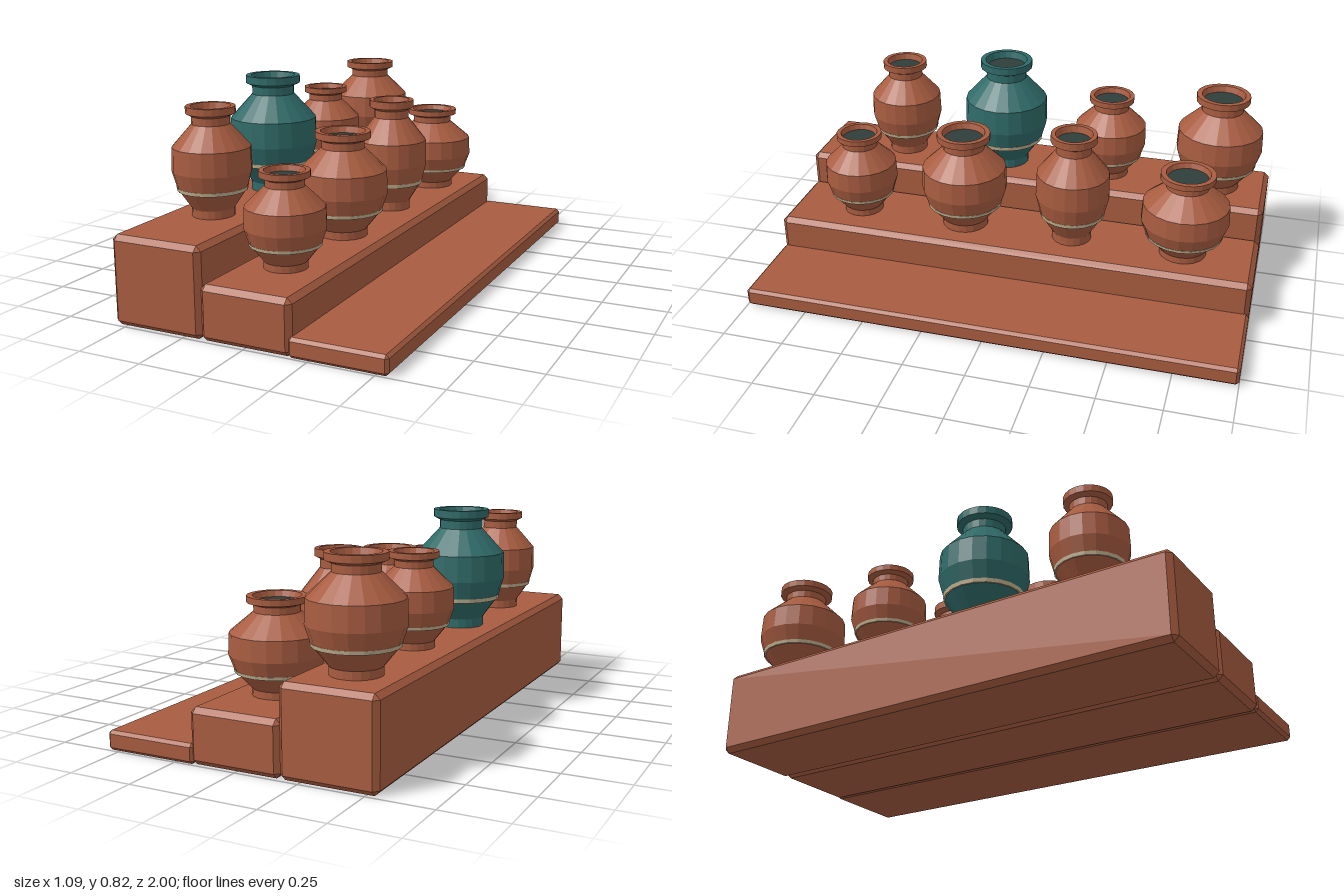
import * as THREE from 'three';
import { ConvexGeometry } from 'three/addons/geometries/ConvexGeometry.js';

const SIDES = 20;

function makeMaterial(name, color) {
  const m = new THREE.MeshStandardMaterial({ color });
  m.name = name;
  return m;
}

// Gives every facet its own normal
function faceted(geometry) {
  const g = geometry.toNonIndexed();
  g.computeVertexNormals();
  return g;
}

// Box with every edge cut at 45 degrees
function chamferBox(w, h, d, c) {
  const points = [];
  for (const x of [-1, 1]) for (const y of [-1, 1]) for (const z of [-1, 1]) {
    for (let axis = 0; axis < 3; axis++) {
      const inset = [c, c, c];
      inset[axis] = 0;
      points.push(new THREE.Vector3(
        x * (w / 2 - inset[0]), y * (h / 2 - inset[1]), z * (d / 2 - inset[2])));
    }
  }
  return new ConvexGeometry(points);
}

export function createModel() {
  const model = new THREE.Group();
  model.name = 'potteryDisplay';

  const terracotta = makeMaterial('terracotta', 0xa85c40);
  const teal = makeMaterial('teal glaze', 0x2f6b69);
  const cream = makeMaterial('cream', 0xc2b190);
  const dark = makeMaterial('dark interior', 0x2f3d3b);

  // Three stepped shelves: left edge, right edge, height, chamfer
  const shelves = [
    ['backShelf', -0.547, -0.172, 0.343, 0.02],
    ['middleShelf', -0.178, 0.186, 0.209, 0.02],
    ['frontShelf', 0.172, 0.547, 0.075, 0.012],
  ];
  for (const [name, x0, x1, h, c] of shelves) {
    const shelf = new THREE.Mesh(chamferBox(x1 - x0, h, 2, c), terracotta);
    shelf.name = name;
    shelf.position.set((x0 + x1) / 2, h / 2, 0);
    model.add(shelf);
  }

  // Jar profile of unit radius and unit height: foot, belly, shoulder, neck, lip
  const profile = [
    [0, 0], [0.54, 0], [0.54, 0.075], [0.87, 0.25], [1, 0.42], [0.98, 0.635],
    [0.48, 0.84], [0.48, 0.91], [0.62, 0.935], [0.62, 1], [0.5, 1], [0.45, 0.93],
  ].map(([r, y]) => new THREE.Vector2(r, y));
  const bodyGeometry = faceted(new THREE.LatheGeometry(profile, SIDES));
  const bandGeometry = faceted(
    new THREE.CylinderGeometry(0.895, 0.88, 0.034, SIDES, 1).translate(0, 0.255, 0));
  const mouthGeometry = new THREE.CircleGeometry(0.46, SIDES)
    .rotateX(-Math.PI / 2).translate(0, 0.94, 0);

  function addJar(name, x, y, z, radius, height, glaze) {
    const jar = new THREE.Group();
    jar.name = name;
    const parts = [
      ['body', bodyGeometry, glaze],
      ['stripe', bandGeometry, cream],
      ['mouth', mouthGeometry, dark],
    ];
    for (const [part, geometry, material] of parts) {
      const mesh = new THREE.Mesh(geometry, material);
      mesh.name = part;
      jar.add(mesh);
    }
    jar.position.set(x, y, z);
    jar.scale.set(radius, height, radius);
    model.add(jar);
  }

  // Jars on each shelf, from rear to front: radius, height, glaze
  const small = 0.152, large = 0.178;
  const backRow = [
    [large, 0.42, terracotta], [small, 0.363, terracotta],
    [large, 0.475, teal], [small, 0.42, terracotta],
  ];
  const middleRow = [
    [large, 0.363, terracotta], [small, 0.475, terracotta],
    [large, 0.422, terracotta], [small, 0.363, terracotta],
  ];
  backRow.forEach(([r, h, m], i) =>
    addJar('backJar' + (i + 1), -0.361, 0.343, -0.784 + i * 0.464, r, h, m));
  middleRow.forEach(([r, h, m], i) =>
    addJar('middleJar' + (i + 1), 0, 0.209, -0.701 + i * 0.464, r, h, m));

  return model;
}
